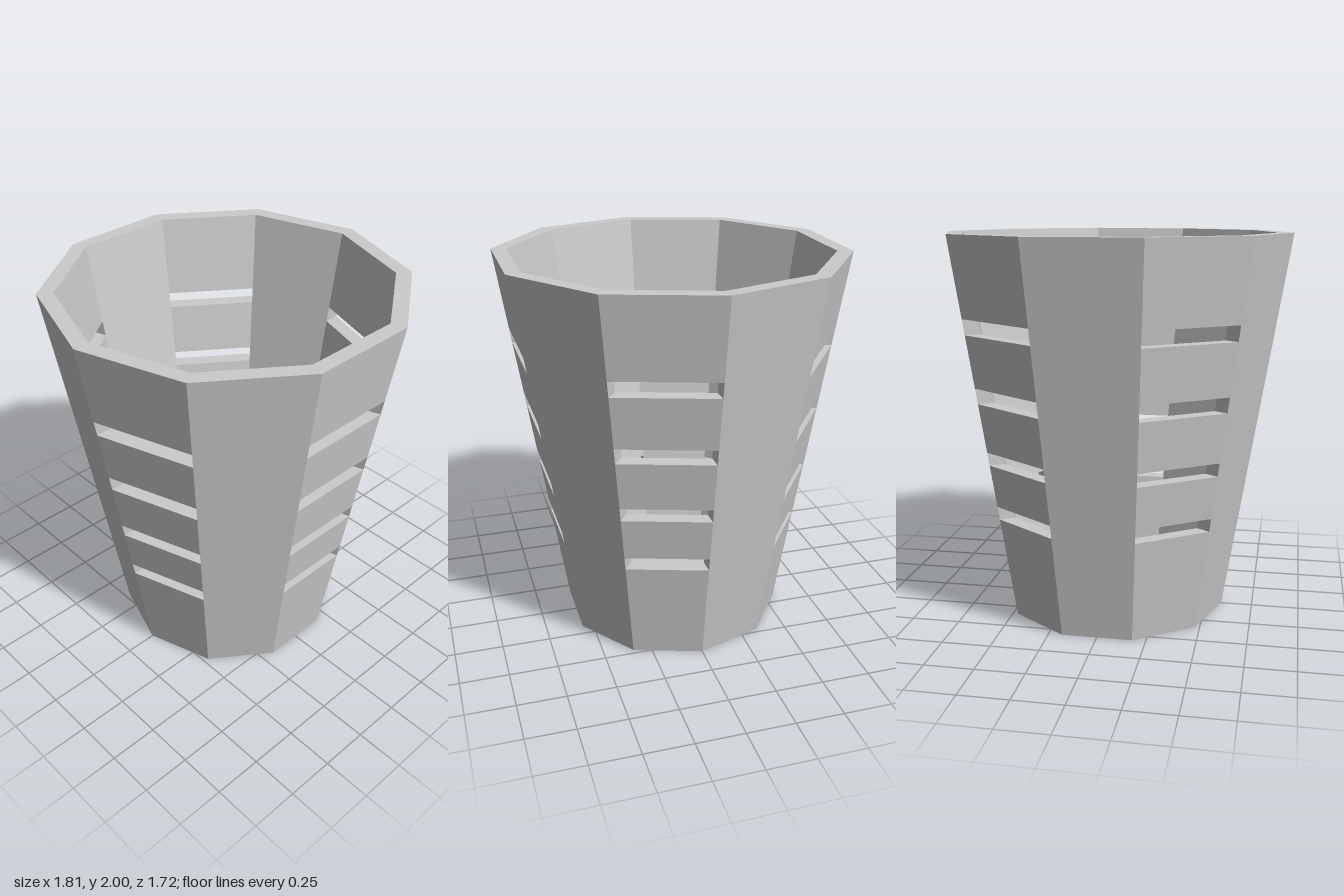
import * as THREE from 'three';

const SIDES = 10, HEIGHT = 2, FLOOR = 0.09, WALL = 0.08;
const SLOTS = [[0.54, 0.61], [0.835, 0.905], [1.16, 1.24], [1.51, 1.59]];

const outerRadius = (y) => 0.585 + 0.16 * y;
const innerRadius = (y) => outerRadius(y) - WALL;

// Corner i of the ten-sided ring at height y
function corner(radius, i, y) {
  const a = (i / SIDES) * Math.PI * 2;
  return [radius(y) * Math.cos(a), y, radius(y) * Math.sin(a)];
}
const out = (i, y) => corner(outerRadius, i, y);
const inn = (i, y) => corner(innerRadius, i, y);

// Collects flat quads and turns them into one mesh
function quadMesh(name, quads, material) {
  const positions = quads.flatMap(([a, b, c, d]) => [a, b, c, a, c, d]).flat();
  const geometry = new THREE.BufferGeometry();
  geometry.setAttribute('position', new THREE.Float32BufferAttribute(positions, 3));
  geometry.computeVertexNormals();
  const mesh = new THREE.Mesh(geometry, material);
  mesh.name = name;
  return mesh;
}

// Outer and inner skin of one wall band
const band = (i, y0, y1) => {
  const yi = Math.max(y0, FLOOR);
  return [
    [out(i + 1, y0), out(i, y0), out(i, y1), out(i + 1, y1)],
    [inn(i, yi), inn(i + 1, yi), inn(i + 1, y1), inn(i, y1)],
  ];
};

// Horizontal edges through the wall thickness
const faceDown = (i, y) => [out(i, y), out(i + 1, y), inn(i + 1, y), inn(i, y)];
const faceUp = (i, y) => faceDown(i, y).reverse();

// The four sides of a slot opening
const slotLining = (i, y0, y1) => [
  faceUp(i, y0),
  faceDown(i, y1),
  [out(i, y0), out(i, y1), inn(i, y1), inn(i, y0)],
  [inn(i + 1, y0), inn(i + 1, y1), out(i + 1, y1), out(i + 1, y0)],
];

function disc(name, y, up, radius, material) {
  const geometry = new THREE.CircleGeometry(radius, SIDES);
  geometry.rotateX(up ? -Math.PI / 2 : Math.PI / 2);
  const mesh = new THREE.Mesh(geometry, material);
  mesh.position.y = y;
  mesh.name = name;
  return mesh;
}

export function createModel() {
  const group = new THREE.Group();
  group.name = 'slottedBasket';
  const material = new THREE.MeshStandardMaterial({ color: 0xcccccc, flatShading: true });

  // Wall panels: every second one is cut by four slots
  for (let i = 0; i < SIDES; i++) {
    const slotted = i % 2 === 0;
    const quads = [];
    let y = 0;
    for (const [y0, y1] of slotted ? SLOTS : []) {
      quads.push(...band(i, y, y0), ...slotLining(i, y0, y1));
      y = y1;
    }
    quads.push(...band(i, y, HEIGHT));
    group.add(quadMesh(slotted ? 'slottedPanel' : 'solidPanel', quads, material));
  }

  // Rim around the open top
  const rim = Array.from({ length: SIDES }, (_, i) => faceUp(i, HEIGHT));
  group.add(quadMesh('rim', rim, material));

  // Inside floor and underside
  group.add(disc('floor', FLOOR, true, innerRadius(FLOOR), material));
  group.add(disc('underside', 0, false, outerRadius(0), material));

  return group;
}
